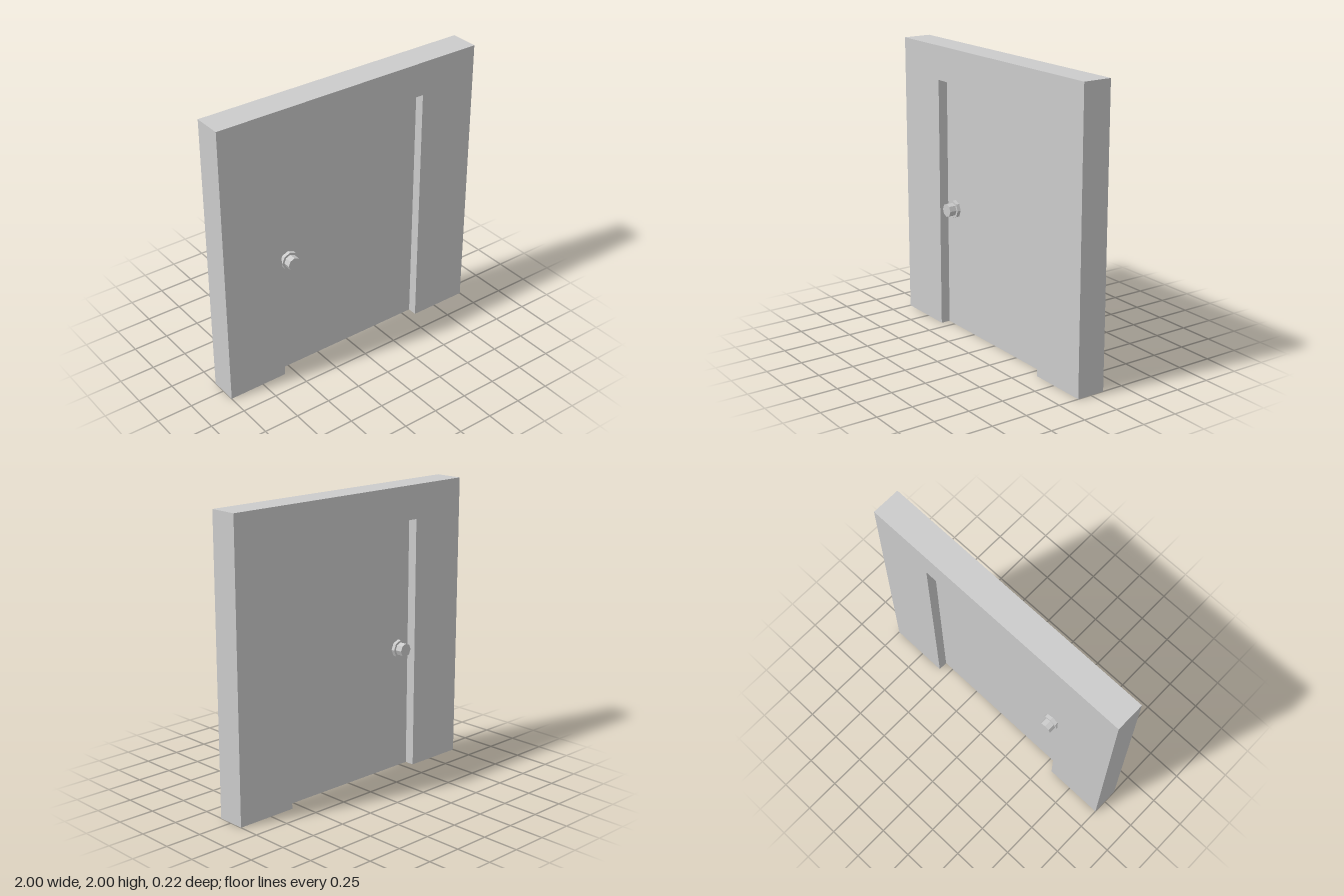
import * as THREE from 'three';

const DEPTH = 0.2, DOOR_DEPTH = 0.066, HALF_OPENING = 0.57, OPENING_TOP = 1.765;

export function createModel() {
  const model = new THREE.Group();
  model.name = 'doorInWall';
  const material = new THREE.MeshStandardMaterial({ color: 0xcccccc, flatShading: true });

  const add = (parent, name, geometry) => {
    const mesh = new THREE.Mesh(geometry, material);
    mesh.name = name;
    parent.add(mesh);
    return mesh;
  };

  // Wall with a doorway open at the floor
  const outline = new THREE.Shape([
    [-1, 0], [-HALF_OPENING, 0], [-HALF_OPENING, OPENING_TOP], [HALF_OPENING, OPENING_TOP],
    [HALF_OPENING, 0], [1, 0], [1, 2], [-1, 2],
  ].map(([x, y]) => new THREE.Vector2(x, y)));
  const wall = new THREE.ExtrudeGeometry(outline, { depth: DEPTH, bevelEnabled: false });
  add(model, 'wall', wall.translate(0, 0, -DEPTH / 2));

  // Thin door leaf set midway through the wall
  const door = new THREE.BoxGeometry(HALF_OPENING * 2, OPENING_TOP, DOOR_DEPTH);
  add(model, 'door', door.translate(0, OPENING_TOP / 2, 0));

  // Eight-sided knob and its backplate on each face of the door
  for (const [side, facing] of [['front', 1], ['back', -1]]) {
    const knob = new THREE.Group();
    knob.name = side + 'Knob';
    knob.position.set(-0.475, 0.865, facing * DOOR_DEPTH / 2);
    knob.rotation.x = facing * Math.PI / 2;
    model.add(knob);
    add(knob, 'backplate', new THREE.CylinderGeometry(0.063, 0.063, 0.025, 8)).position.y = 0.0125;
    add(knob, 'handle', new THREE.CylinderGeometry(0.047, 0.047, 0.075, 8)).position.y = 0.0375;
  }

  return model;
}
